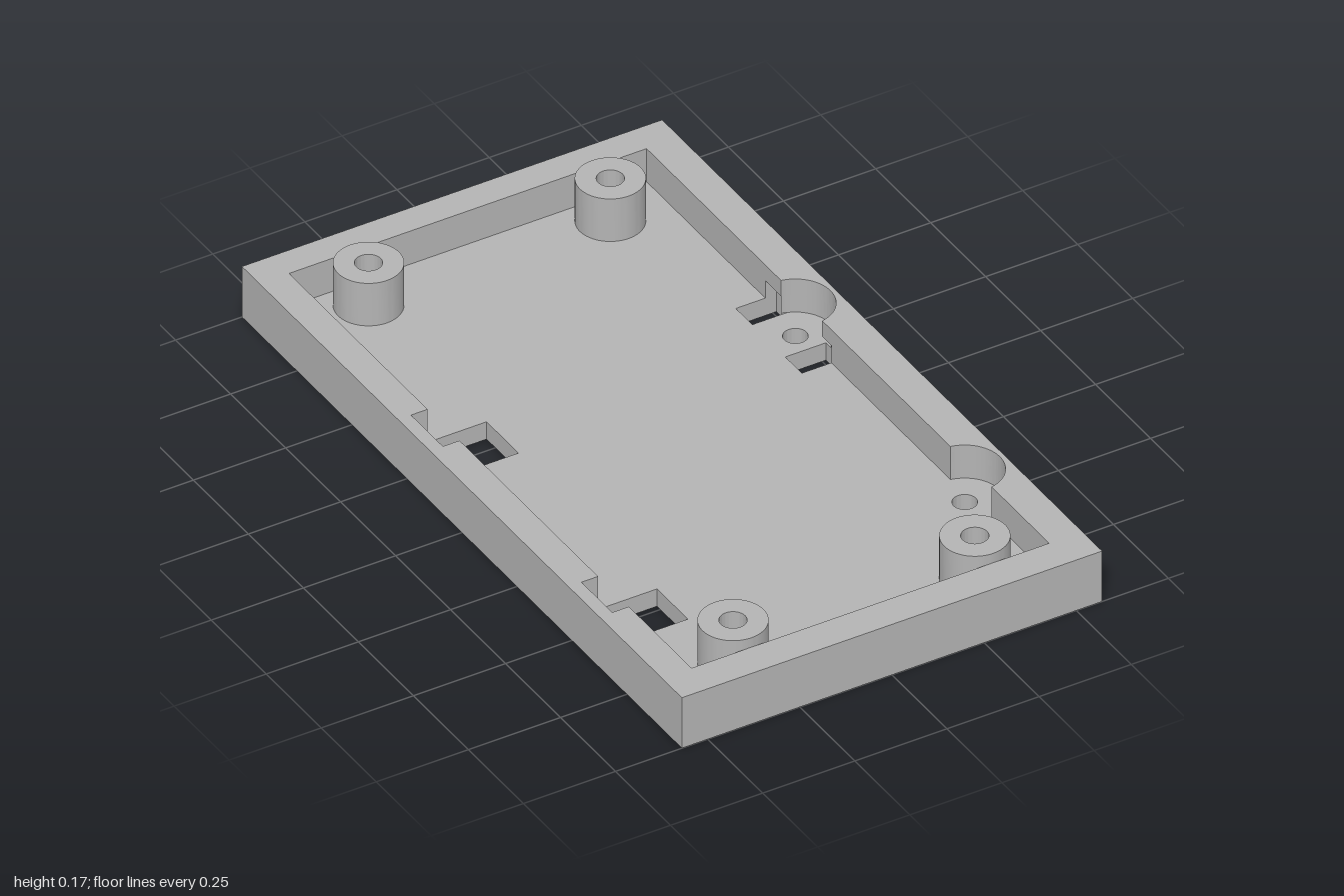
import * as THREE from 'three';
import { toCreasedNormals } from 'three/addons/utils/BufferGeometryUtils.js';

const FLOOR = 0.05, LEDGE = 0.1, RIM = 0.145, BOSS_TOP = 0.172;
const POCKET_X = 0.463, POCKET_R = 0.095, WALL_X = 0.48, SLOT_X = 0.51;

export function createModel() {
  const model = new THREE.Group();
  const plastic = new THREE.MeshStandardMaterial({ color: 0xb4b4b4 });
  plastic.name = 'grey plastic';

  // Plan shapes use y = -z, and are extruded upwards from y0 to y1
  const slab = (name, shape, y0, y1) => {
    const raw = new THREE.ExtrudeGeometry(shape, { depth: y1 - y0, bevelEnabled: false, curveSegments: 32 });
    raw.rotateX(-Math.PI / 2).translate(0, y0, 0);
    const mesh = new THREE.Mesh(toCreasedNormals(raw, 0.6), plastic);
    mesh.name = name;
    model.add(mesh);
    return mesh;
  };
  const polygon = (points, Type = THREE.Path) => new Type(points.map(p => new THREE.Vector2(...p)));
  const rect = (x0, x1, y0, y1, Type) => polygon([[x0, y0], [x1, y0], [x1, y1], [x0, y1]], Type);
  const circle = (x, y, r, Type = THREE.Path) => new Type().absarc(x, y, r, 0, Math.PI * 2, false);
  const outline = () => rect(-0.57, 0.57, -1, 1, THREE.Shape);

  // Floor with clip windows, latch slots and screw holes
  const floor = outline();
  floor.holes.push(
    rect(-0.535, -0.33, 0.145, 0.29), rect(-0.535, -0.33, -0.625, -0.485),
    rect(0.4, SLOT_X, 0.08, 0.155), rect(0.4, SLOT_X, 0.305, 0.38),
    circle(POCKET_X, 0.215, 0.03), circle(POCKET_X, -0.555, 0.03));
  slab('floor', floor, 0, FLOOR);

  // Wall ring: notched on one side, round pockets on the other
  const wall = (undercut) => {
    const a = Math.acos((WALL_X - POCKET_X) / POCKET_R);
    const b = Math.acos((SLOT_X - POCKET_X) / POCKET_R);
    const top = 0.215 + POCKET_R * Math.sin(a);
    const c = new THREE.Path();
    c.moveTo(-0.49, -0.91);
    c.lineTo(WALL_X, -0.91);
    c.absarc(POCKET_X, -0.555, POCKET_R, -a, a, false);
    if (undercut) {
      c.lineTo(WALL_X, 0.08);
      c.lineTo(SLOT_X, 0.08);
    }
    c.absarc(POCKET_X, 0.215, POCKET_R, undercut ? -b : -a, a, false);
    if (undercut) {
      c.lineTo(SLOT_X, top);
      c.lineTo(SLOT_X, 0.38);
      c.lineTo(WALL_X, 0.38);
    }
    c.lineTo(WALL_X, 0.92);
    c.lineTo(-0.49, 0.92);
    for (const [hi, lo] of [[0.29, 0.145], [-0.485, -0.625]]) {
      c.lineTo(-0.49, hi);
      c.lineTo(-0.535, hi);
      c.lineTo(-0.535, lo);
      c.lineTo(-0.49, lo);
    }
    c.closePath();
    const shape = outline();
    shape.holes.push(c);
    return shape;
  };
  slab('lowerWall', wall(true), FLOOR, LEDGE);
  slab('upperWall', wall(false), LEDGE, RIM);

  // Four hollow mounting bosses
  for (const x of [-0.328, 0.328]) {
    for (const z of [-0.83, 0.827]) {
      const ring = circle(x, -z, 0.083, THREE.Shape);
      ring.holes.push(circle(x, -z, 0.033));
      slab('mountingBoss', ring, FLOOR, BOSS_TOP);
    }
  }
  return model;
}
